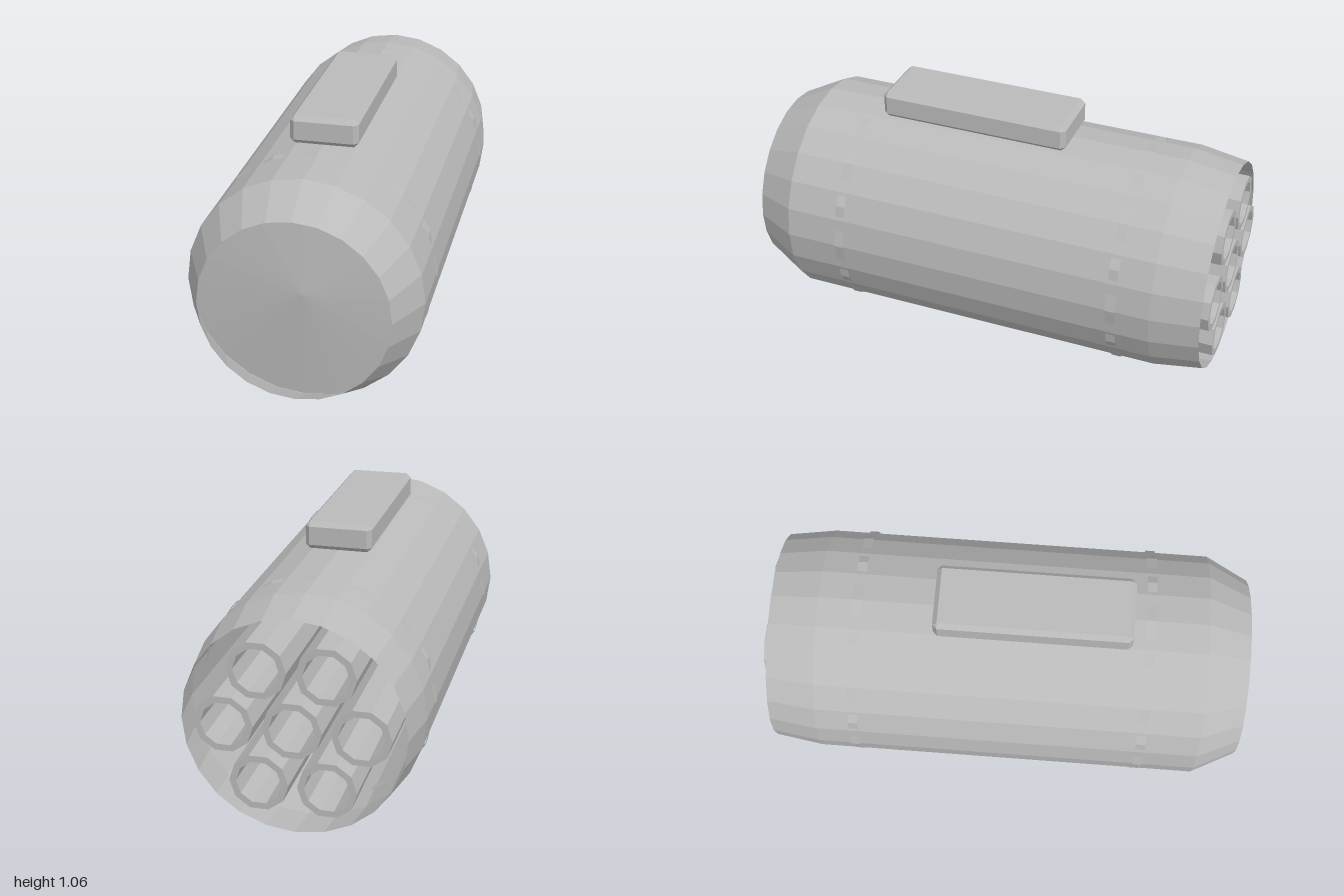
import * as THREE from 'three';
import { ConvexGeometry } from 'three/addons/geometries/ConvexGeometry.js';

const AXIS_Y = 0.475;

export function createModel() {
  const model = new THREE.Group();
  model.name = 'launcherPod';
  const grey = new THREE.MeshStandardMaterial({ color: 0xbababa });
  grey.name = 'grey metal';
  grey.flatShading = true;
  grey.side = THREE.DoubleSide;

  const add = (name, geometry, x = 0, y = 0, z = 0) => {
    const mesh = new THREE.Mesh(geometry, grey);
    mesh.name = name;
    mesh.position.set(x, y, z);
    model.add(mesh);
    return mesh;
  };
  // Lathe profile of [radius, z] points, turned about the z axis
  const turned = (points, sides) =>
    new THREE.LatheGeometry(points.map(([r, z]) => new THREE.Vector2(r, z)), sides).rotateX(Math.PI / 2);

  // Thin outer casing, tapered at both ends and open
  add('casing', turned([[0.44, -0.98], [0.47, -0.78], [0.47, 0.82], [0.378, 1]], 24), 0, AXIS_Y);

  // Shallow conical cap recessed behind the front rim
  add('frontCap', turned([[0.468, 0.82], [0, 0.86]], 24), 0, AXIS_Y);

  // Bands whose corners just break through the casing
  for (const z of [0.58, -0.62]) {
    add('band', turned([[0.475, -0.02], [0.475, 0.02]], 16), 0, AXIS_Y, z);
  }

  // Seven launch tubes: one central, six around it
  const tube = turned([[0.09, 0.8], [0.09, -1], [0.117, -1], [0.117, 0.8]], 10);
  tube.rotateZ(Math.PI / 2);
  add('launchTube', tube, 0, AXIS_Y);
  for (let i = 0; i < 6; i++) {
    const a = i * Math.PI / 3;
    add('launchTube', tube, 0.268 * Math.cos(a), AXIS_Y + 0.268 * Math.sin(a));
  }

  // Mounting block with chamfered edges
  const [hx, hy, hz, c] = [0.138, 0.0575, 0.403, 0.019];
  const corners = [];
  for (const sx of [-1, 1]) for (const sy of [-1, 1]) for (const sz of [-1, 1]) {
    corners.push(
      new THREE.Vector3(sx * hx, sy * (hy - c), sz * (hz - c)),
      new THREE.Vector3(sx * (hx - c), sy * hy, sz * (hz - c)),
      new THREE.Vector3(sx * (hx - c), sy * (hy - c), sz * hz));
  }
  add('mountingBlock', new ConvexGeometry(corners), 0, 1.0025, 0.104);

  return model;
}
